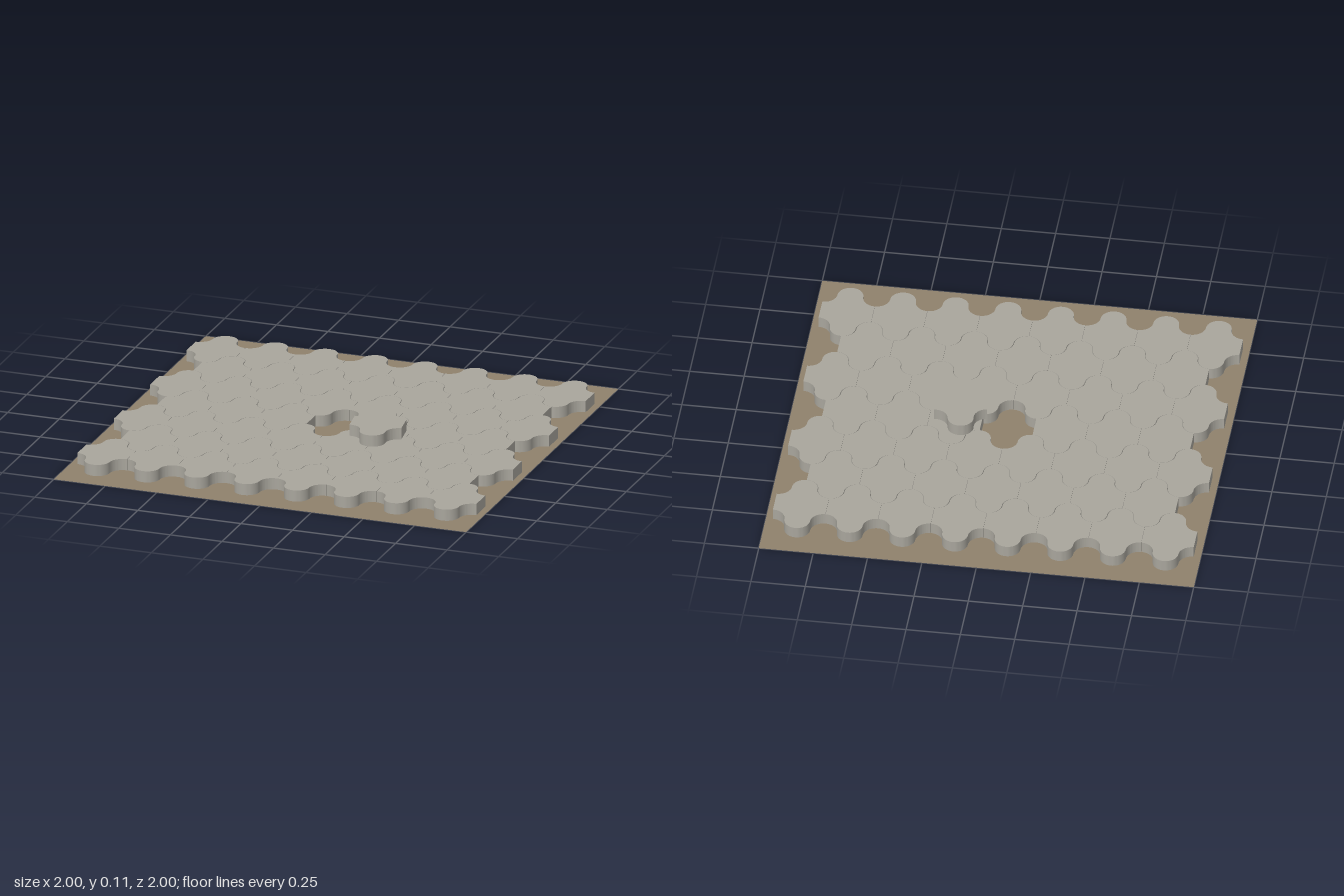
import * as THREE from 'three';
import { toCreasedNormals } from 'three/addons/utils/BufferGeometryUtils.js';

const PITCH_X = 0.242, PITCH_Z = 0.2395; // paver spacing
const HALF_W = 0.1205, SIDE = 0.059;     // half width, half length of the straight sides
const BUMP = 0.059, NOTCH = HALF_W - BUMP;
const THICK = 0.054;

// Interlocking paver: straight sides, hollow corners, a round lobe at each end
function paverGeometry() {
  const s = new THREE.Shape();
  const y = SIDE + NOTCH;
  s.moveTo(HALF_W, -SIDE);
  s.lineTo(HALF_W, SIDE);
  s.absarc(HALF_W, y, NOTCH, -Math.PI / 2, -Math.PI, true);
  s.absarc(0, y, BUMP, 0, Math.PI, false);
  s.absarc(-HALF_W, y, NOTCH, 0, -Math.PI / 2, true);
  s.lineTo(-HALF_W, -SIDE);
  s.absarc(-HALF_W, -y, NOTCH, Math.PI / 2, 0, true);
  s.absarc(0, -y, BUMP, Math.PI, Math.PI * 2, false);
  s.absarc(HALF_W, -y, NOTCH, Math.PI, Math.PI / 2, true);
  const g = new THREE.ExtrudeGeometry(s, { depth: THICK, bevelEnabled: false, curveSegments: 12 });
  g.rotateX(-Math.PI / 2);
  return toCreasedNormals(g, 0.6);
}

export function createModel() {
  const model = new THREE.Group();
  model.name = 'pavedGround';

  const stone = new THREE.MeshStandardMaterial({ color: 0xa8a59c });
  stone.name = 'stone grey';
  const sand = new THREE.MeshStandardMaterial({ color: 0x8f816c, side: THREE.DoubleSide });
  sand.name = 'bedding brown';

  // Flat bedding sheet
  const bed = new THREE.Mesh(new THREE.PlaneGeometry(2, 2).rotateX(-Math.PI / 2), sand);
  bed.name = 'beddingLayer';
  model.add(bed);

  const geometry = paverGeometry();
  const addPaver = (parent, name, x, y, z, turn = 0) => {
    const paver = new THREE.Mesh(geometry, stone);
    paver.name = name;
    paver.position.set(x, y, z);
    paver.rotation.y = turn;
    parent.add(paver);
  };

  // Seven staggered rows of eight and seven pavers, the centre one left out
  for (let row = 0; row < 7; row++) {
    const line = new THREE.Group();
    line.name = `paverRow${row + 1}`;
    const count = row % 2 ? 7 : 8;
    for (let i = 0; i < count; i++) {
      if (row === 3 && i === 3) continue;
      addPaver(line, `paver${i + 1}`, (i - (count - 1) / 2) * PITCH_X, 0.001, (row - 3) * PITCH_Z);
    }
    model.add(line);
  }

  // Loose paver lying beside its gap
  addPaver(model, 'loosePaver', 0.228, 0.057, 0.066, 0.15);

  return model;
}
